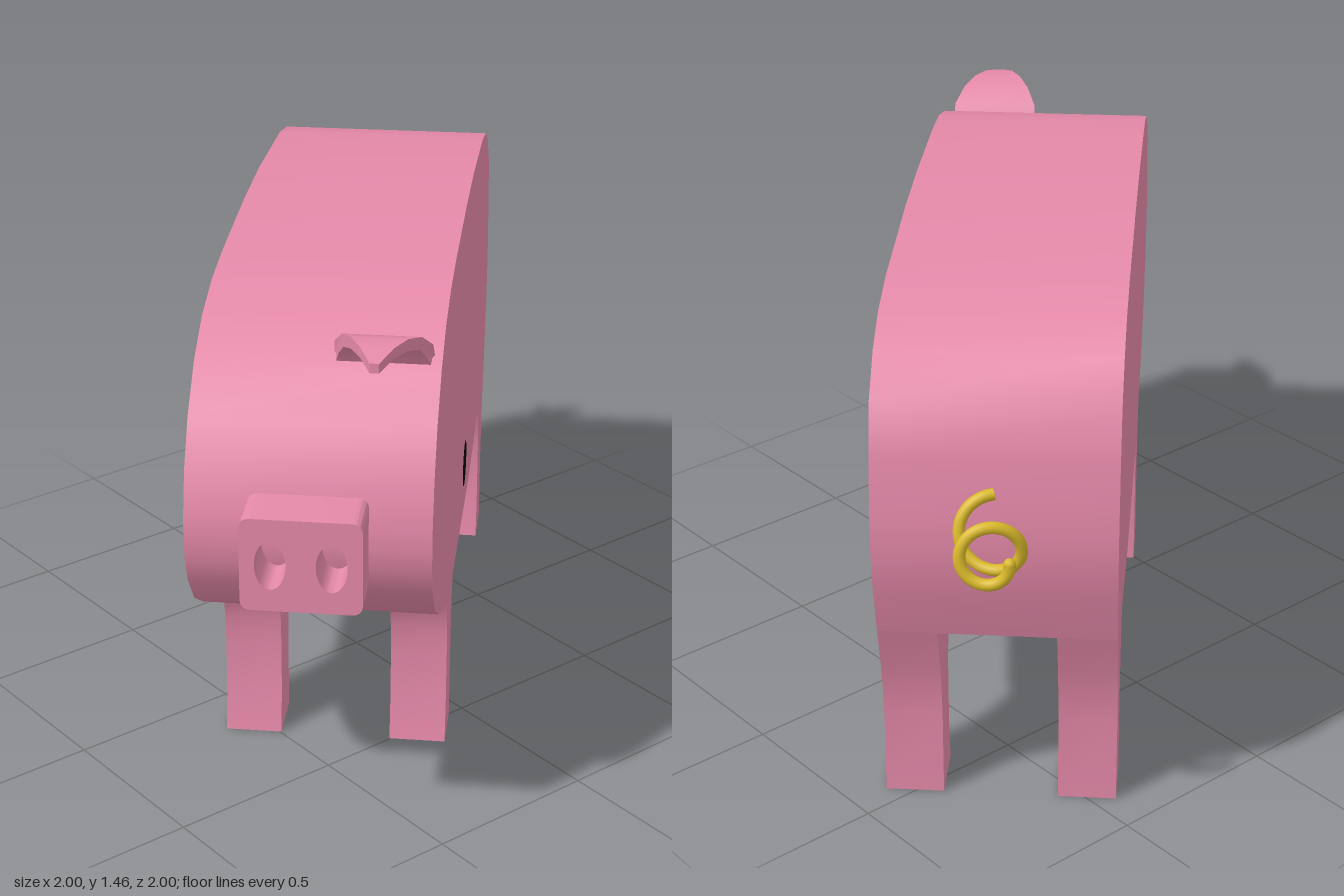
import * as THREE from 'three';
import { toCreasedNormals } from 'three/addons/utils/BufferGeometryUtils.js';

const HALF = 0.318;   // half the body width
const LEG = 0.16;     // leg thickness across the body

const pink = new THREE.MeshStandardMaterial({ color: 0xe589a9 });
pink.name = 'pink';
const gold = new THREE.MeshStandardMaterial({ color: 0xd9b92a });
gold.name = 'gold';
const black = new THREE.MeshStandardMaterial({ color: 0x050505, side: THREE.DoubleSide });
black.name = 'black';

// Side outlines are drawn foreshortened by 45 degrees; stretch them to true length.
const outline = (pts) =>
  new THREE.Shape(pts.map(([x, y]) => new THREE.Vector2((x - 0.225) * Math.SQRT2, y)));

function slab(shape, depth, z, crease = 0.6) {
  const geo = new THREE.ExtrudeGeometry(shape, { depth, bevelEnabled: false, curveSegments: 16 });
  geo.translate(0, 0, z);
  return toCreasedNormals(geo, crease);
}

function addMesh(parent, name, geo, material) {
  const mesh = new THREE.Mesh(geo, material);
  mesh.name = name;
  parent.add(mesh);
  return mesh;
}

export function createModel() {
  const model = new THREE.Group();
  model.name = 'pig';
  const pig = new THREE.Group();   // local -x is the head, +x the tail
  pig.name = 'turnedPig';
  pig.rotation.y = Math.PI / 4;
  model.add(pig);

  // Body: one thick slab with a rounded outline
  const body = outline([
    [-0.195, 0.5], [-0.01, 0.44], [0.1, 0.435], [0.45, 0.435], [0.6, 0.46], [0.74, 0.495],
    [0.95, 0.565], [0.985, 0.72], [1, 0.83], [1, 0.93], [0.985, 1.1], [0.96, 1.245],
    [0.89, 1.345], [0.81, 1.4], [0.7, 1.43], [0.4, 1.455], [0.2, 1.455], [-0.08, 1.438],
    [-0.2, 1.42], [-0.31, 1.38], [-0.4, 1.31], [-0.48, 1.2], [-0.53, 1.08], [-0.553, 0.96],
    [-0.555, 0.9], [-0.55, 0.84], [-0.53, 0.77], [-0.47, 0.67], [-0.38, 0.59], [-0.29, 0.53],
  ]);
  addMesh(pig, 'body', slab(body, HALF * 2, -HALF), pink);

  // Legs: slabs flush with both sides of the body
  const legs = {
    frontLeg: outline([
      [-0.195, 0.5], [-0.16, 0.44], [-0.145, 0.36], [-0.14, 0.27], [-0.145, 0.12], [-0.16, 0],
      [-0.045, 0], [-0.045, 0.08], [-0.04, 0.22], [-0.03, 0.36], [-0.01, 0.44],
    ]),
    hindLeg: outline([
      [0.74, 0.495], [0.77, 0.42], [0.783, 0.32], [0.785, 0.12], [0.77, 0],
      [0.89, 0], [0.89, 0.25], [0.9, 0.35], [0.915, 0.43], [0.95, 0.565],
    ]),
  };
  for (const [name, shape] of Object.entries(legs)) {
    addMesh(pig, name + 'Left', slab(shape, LEG, HALF - LEG), pink);
    addMesh(pig, name + 'Right', slab(shape, LEG, -HALF), pink);
  }

  // Snout: rounded block with two oval nostril holes
  const w = 0.156, h = 0.128, r = 0.03;
  const snoutShape = new THREE.Shape();
  snoutShape.moveTo(-w + r, -h);
  snoutShape.lineTo(w - r, -h).quadraticCurveTo(w, -h, w, -h + r);
  snoutShape.lineTo(w, h - r).quadraticCurveTo(w, h, w - r, h);
  snoutShape.lineTo(-w + r, h).quadraticCurveTo(-w, h, -w, h - r);
  snoutShape.lineTo(-w, -h + r).quadraticCurveTo(-w, -h, -w + r, -h);
  for (const side of [-1, 1]) {
    const hole = new THREE.Path();
    hole.absellipse(side * 0.078, 0, 0.04, 0.067, 0, Math.PI * 2, true);
    snoutShape.holes.push(hole);
  }
  const snout = addMesh(pig, 'snout', slab(snoutShape, 0.197, 0), pink);
  snout.rotation.y = -Math.PI / 2;
  snout.position.set(-1.03, 0.907, 0);

  // Ear: a curled band that narrows towards its tip
  const band = [
    [-0.83, 1.31], [-0.86, 1.37], [-0.91, 1.41], [-0.97, 1.427], [-1.03, 1.425], [-1.09, 1.408],
    [-1.09, 1.382], [-1.03, 1.397], [-0.97, 1.395], [-0.92, 1.378], [-0.885, 1.345], [-0.865, 1.31],
  ].map(([x, y]) => new THREE.Vector2(x, y));
  const earGeo = new THREE.ExtrudeGeometry(new THREE.Shape(band), { depth: 2, bevelEnabled: false });
  const pos = earGeo.attributes.position;
  for (let i = 0; i < pos.count; i++) {
    const t = THREE.MathUtils.clamp((-0.85 - pos.getX(i)) / 0.24, 0, 1);
    pos.setZ(i, (pos.getZ(i) - 1) * THREE.MathUtils.lerp(0.131, 0.012, t) + 0.168);
  }
  addMesh(pig, 'ear', toCreasedNormals(earGeo, 0.6), pink);

  // Eye: a flat disc standing just off the side of the head
  const eye = addMesh(pig, 'eye', new THREE.CircleGeometry(0.06, 24), black);
  eye.position.set(-0.898, 1.06, 0.382);

  // Tail: a tightening corkscrew
  const coil = [];
  for (let i = 0; i <= 42; i++) {
    const t = i / 42, a = t * Math.PI * 3.5, rad = 0.086 - 0.03 * t * t;
    coil.push(new THREE.Vector3(
      1.09 + 0.2 * Math.sin(t * Math.PI / 2), 0.938 + rad * Math.cos(a), rad * Math.sin(a)));
  }
  const tailCurve = new THREE.CatmullRomCurve3(coil);
  addMesh(pig, 'tail', new THREE.TubeGeometry(tailCurve, 90, 0.016, 10), gold);
  const end = addMesh(pig, 'tailTip', new THREE.SphereGeometry(0.016, 10, 8), gold);
  end.position.copy(coil[coil.length - 1]);

  return model;
}
